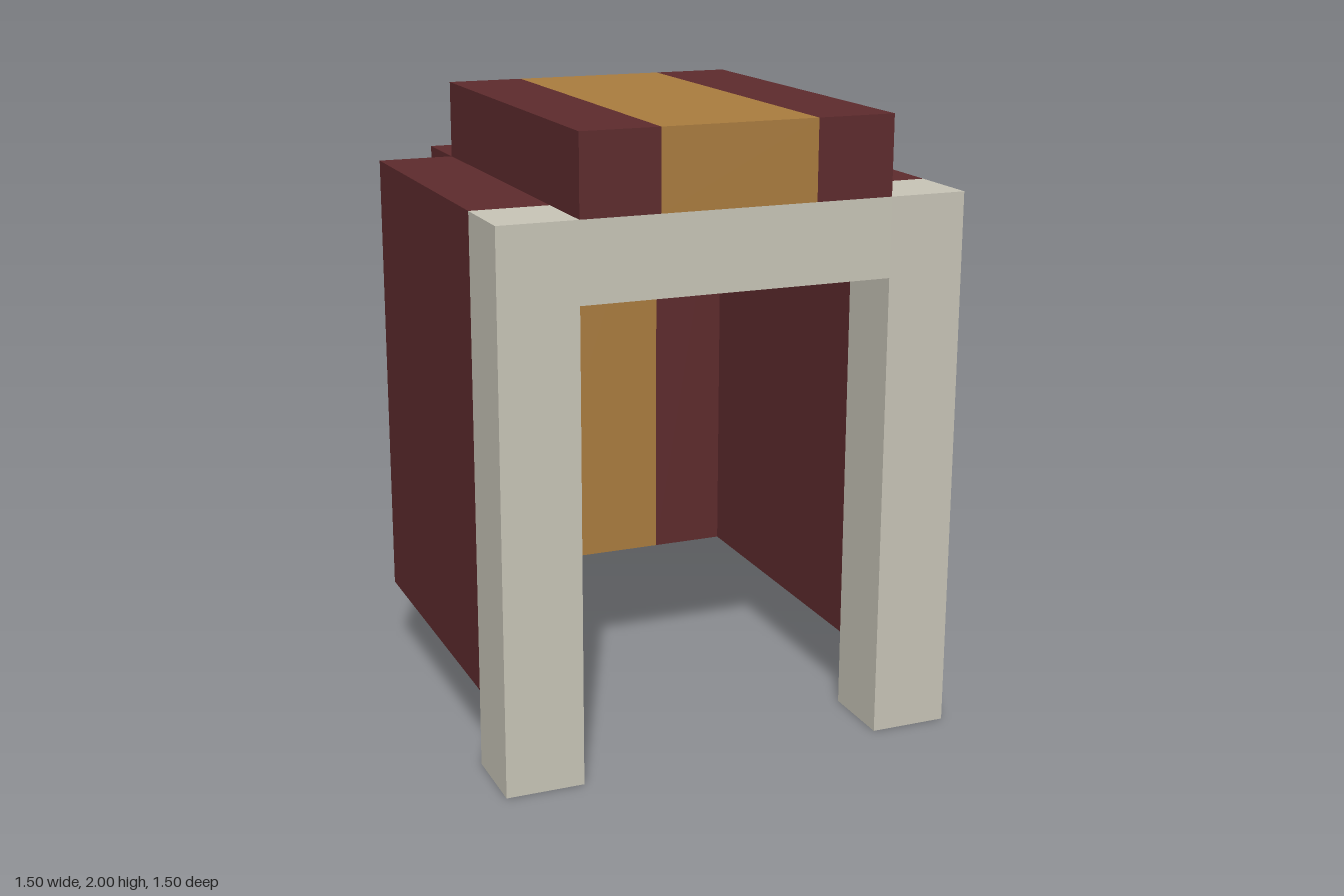
import * as THREE from 'three';

export function createModel() {
  const model = new THREE.Group();
  model.name = 'carriedShelter';

  const mat = (name, color) => {
    const m = new THREE.MeshStandardMaterial({ color });
    m.name = name;
    return m;
  };
  const maroon = mat('maroon', 0x5e2b2d);
  const gold = mat('gold', 0xab7d3f);
  const bone = mat('bone', 0xc9c6b8);

  // Box given by its lower and upper corners
  const block = (name, material, [x0, y0, z0], [x1, y1, z1], parent = model) => {
    const mesh = new THREE.Mesh(new THREE.BoxGeometry(x1 - x0, y1 - y0, z1 - z0), material);
    mesh.position.set((x0 + x1) / 2, (y0 + y1) / 2, (z0 + z1) / 2);
    mesh.name = name;
    parent.add(mesh);
  };

  // Panel with a gold band between two maroon borders
  const stripedPanel = (name, y0, y1, z0, z1) => {
    const panel = new THREE.Group();
    panel.name = name;
    block('rightBorder', maroon, [-0.5, y0, z0], [-0.25, y1, z1], panel);
    block('centreBand', gold, [-0.25, y0, z0], [0.25, y1, z1], panel);
    block('leftBorder', maroon, [0.25, y0, z0], [0.5, y1, z1], panel);
    model.add(panel);
  };
  stripedPanel('roof', 1.75, 2, -0.5, 0.75);
  stripedPanel('backPanel', 0.25, 1.75, -0.75, -0.5);

  // Front arch: two posts and a lintel
  block('lintel', bone, [-0.5, 1.5, 0.5], [0.5, 1.75, 0.75]);
  for (const [side, x] of [['right', -0.75], ['left', 0.5]]) {
    block(side + 'Post', bone, [x, 0, 0.5], [x + 0.25, 1.75, 0.75]);
    block(side + 'Wall', maroon, [x, 0.25, -0.5], [x + 0.25, 1.75, 0.5]);
  }

  return model;
}
